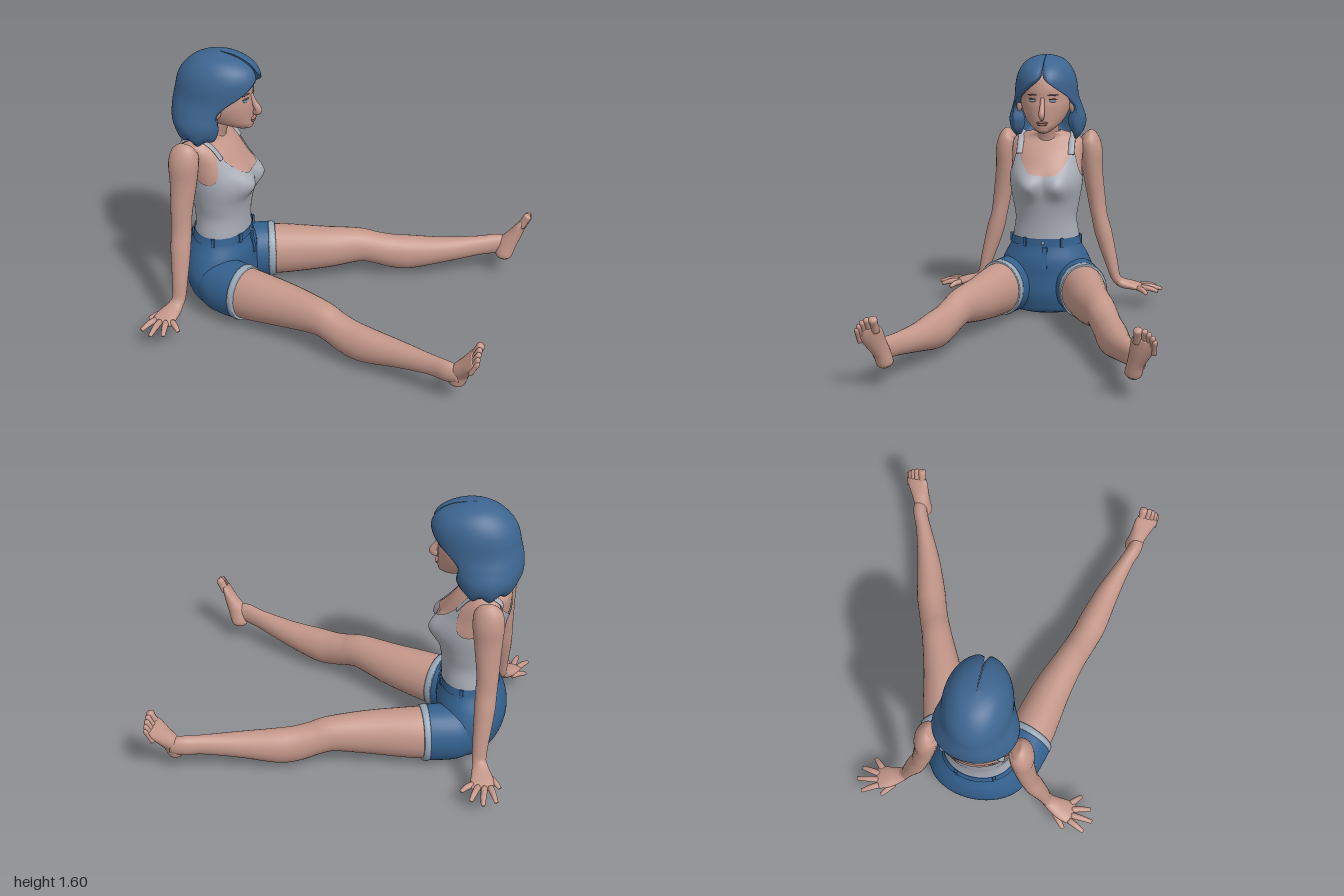
import * as THREE from 'three';
import { mergeVertices } from 'three/addons/utils/BufferGeometryUtils.js';

const V = (x, y, z) => new THREE.Vector3(x, y, z);
const paint = (name, color, side = THREE.FrontSide) => {
  const m = new THREE.MeshStandardMaterial({ color, side });
  m.name = name;
  return m;
};

// Smooth lookup in rows whose first column ascends
function sample(rows, k) {
  const n = rows.length - 1;
  let i = 0;
  while (i < n - 1 && k > rows[i + 1][0]) i++;
  const a = rows[i], b = rows[i + 1], h = b[0] - a[0];
  const t = Math.min(1, Math.max(0, (k - a[0]) / h));
  const slope = (j, c) => {
    const p = rows[Math.max(0, j - 1)], q = rows[Math.min(n, j + 1)];
    return (q[c] - p[c]) / (q[0] - p[0]);
  };
  return a.map((_, c) => {
    const t2 = t * t, t3 = t2 * t;
    return (2 * t3 - 3 * t2 + 1) * a[c] + (t3 - 2 * t2 + t) * h * slope(i, c)
      + (3 * t2 - 2 * t3) * b[c] + (t3 - t2) * h * slope(i + 1, c);
  });
}

// Surface from a function of around (0..1) and along (0..1)
function surface(fn, nu, nv) {
  const pos = [], idx = [];
  for (let i = 0; i <= nv; i++) for (let j = 0; j <= nu; j++) pos.push(...fn((j % nu) / nu, i / nv).toArray());
  for (let i = 0; i < nv; i++) for (let j = 0; j < nu; j++) {
    const a = i * (nu + 1) + j, d = a + nu + 1;
    idx.push(a, a + 1, d + 1, a, d + 1, d);
  }
  let g = new THREE.BufferGeometry();
  g.setAttribute('position', new THREE.Float32BufferAttribute(pos, 3));
  g.setIndex(idx);
  g = mergeVertices(g, 1e-5);
  g.computeVertexNormals();
  return g;
}

// Limb through sections [x, y, z, halfWidth, halfDepth]; ref points along the width
function limb(sections, ref, s = 1, segs = 24, steps = 5) {
  const n = sections.length - 1, nv = n * steps;
  const path = new THREE.CatmullRomCurve3(sections.map(p => V(p[0], p[1], p[2] * s)), false, 'catmullrom');
  const size = new THREE.CatmullRomCurve3(sections.map(p => V(p[3], p[4], 0)), false, 'catmullrom');
  const r = V(ref[0], ref[1], ref[2] * s);
  return surface((u, v) => {
    const k = Math.min(1, Math.max(0, (v * (nv + 2) - 1) / nv));
    const c = path.getPoint(k);
    if (v === 0 || v === 1) return c;
    const t = path.getTangent(k), w = r.clone().addScaledVector(t, -r.dot(t)).normalize();
    const d = t.clone().cross(w), q = size.getPoint(k), a = u * Math.PI * 2;
    return c.addScaledVector(w, Math.max(0.001, q.x) * Math.cos(a)).addScaledVector(d, Math.max(0.001, q.y) * Math.sin(a));
  }, segs, nv + 2);
}

// Level cross-sections: [y, back x, front x, half width]
const torsoRows = [[.44, -.87, -.555, .2], [.5, -.86, -.56, .193], [.6, -.86, -.555, .18], [.7, -.875, -.54, .195],
  [.8, -.89, -.525, .212], [.87, -.9, -.53, .216], [.95, -.92, -.57, .215], [1.02, -.925, -.62, .217],
  [1.07, -.92, -.67, .21], [1.1, -.89, -.69, .17], [1.13, -.83, -.67, .08]];
const pelvisRows = [[0, -.72, -.66, .05], [.02, -.82, -.58, .19], [.07, -.88, -.55, .255], [.15, -.92, -.53, .285],
  [.25, -.935, -.53, .293], [.35, -.92, -.53, .262], [.44, -.882, -.55, .215], [.49, -.868, -.55, .2]];
const headRows = [[1.14, -.58, -.55, .015], [1.155, -.64, -.52, .045], [1.18, -.73, -.505, .08], [1.21, -.8, -.505, .11],
  [1.26, -.86, -.503, .137], [1.31, -.89, -.503, .152], [1.35, -.9, -.508, .156], [1.42, -.89, -.51, .155],
  [1.49, -.86, -.535, .13], [1.53, -.8, -.59, .09], [1.545, -.7, -.69, .01]];

function level(rows, angle, y, off = 0) {
  const [, back, front, rz] = sample(rows, y);
  const x = (back + front) / 2 + ((front - back) / 2 + off) * Math.cos(angle), z = -(rz + off) * Math.sin(angle);
  const bust = rows === torsoRows && Math.cos(angle) > 0
    ? .055 * Math.exp(-(((y - .82) / .075) ** 2) - ((Math.abs(z) - .1) / .075) ** 2) : 0;
  return V(x + bust, y, z);
}
const stack = (rows, off = 0, y0 = rows[0][0], y1 = rows[rows.length - 1][0], nv = 40) =>
  surface((u, v) => level(rows, u * Math.PI * 2, y0 + (y1 - y0) * v, off), 48, nv);

export function createModel() {
  const model = new THREE.Group();
  const skin = paint('skin', 0xc4978a), hair = paint('hair blue', 0x3d6590, THREE.DoubleSide);
  const cloth = paint('top grey', 0xa8acb5, THREE.DoubleSide), denim = paint('denim', 0x34618f, THREE.DoubleSide);
  const fray = paint('frayed hem', 0x98a8b8, THREE.DoubleSide), lip = paint('lips', 0xae7a70);
  const iris = paint('eye blue', 0x7d9cb4), dark = paint('lash and brow', 0x6a5650);
  const add = (name, geo, mat, x = 0, y = 0, z = 0) => {
    const m = new THREE.Mesh(geo, mat);
    m.name = name;
    m.position.set(x, y, z);
    model.add(m);
    return m;
  };
  const blob = (name, mat, p, sx, sy, sz) => {
    const m = add(name, new THREE.SphereGeometry(1, 16, 12), mat, ...p);
    m.scale.set(sx, sy, sz);
    return m;
  };

  // Body core and head
  add('torso', stack(torsoRows), skin);
  add('neck', limb([[-.77, 1.04, 0, .1, .11], [-.75, 1.1, 0, .078, .078], [-.73, 1.16, 0, .075, .072], [-.7, 1.25, 0, .08, .075]], [1, 0, 0]), skin);
  add('head', stack(headRows), skin);
  add('nose', limb([[-.515, 1.36, 0, .012, .012], [-.497, 1.31, 0, .014, .016], [-.474, 1.268, 0, .018, .021],
    [-.486, 1.25, 0, .014, .022], [-.505, 1.243, 0, .006, .01]], [0, 0, 1]), skin).geometry.scale(1, 1, 1);
  blob('upperLip', lip, [-.501, 1.214, 0], .012, .007, .036);
  blob('lowerLip', lip, [-.503, 1.202, 0], .012, .008, .03);
  blob('chin', skin, [-.535, 1.172, 0], .028, .024, .04);

  // Top with scooped neck and armholes
  const edge = [[0, .885], [.4, .9], [.68, .97], [.8, 1.03], [.93, 1], [1.2, .9], [1.57, .86], [2, .9], [2.3, 1.02], [2.45, 1.02], [2.8, .96], [3.15, .94]];
  const brim = a => sample(edge, Math.min(a, Math.PI * 2 - a))[1];
  add('tankTop', surface((u, v) => {
    const a = u * Math.PI * 2;
    return level(torsoRows, a, .485 + (brim(a) - .485) * v, .008);
  }, 96, 36), cloth);

  // Shorts seat, waistband, belt loops and fly
  add('shortsSeat', stack(pelvisRows), denim);
  add('waistband', stack(pelvisRows, .007, .445, .493, 3), denim);
  for (const a of [.55, 1.5, 2.6, -.55, -1.5, -2.6]) {
    const loop = add('beltLoop', new THREE.BoxGeometry(.012, .055, .018), denim);
    loop.position.copy(level(pelvisRows, a, .468, .01));
    loop.rotation.y = a;
  }
  blob('button', fray, [-.541, .468, 0], .006, .01, .01);
  add('fly', new THREE.BoxGeometry(.012, .13, .03), denim, -.535, .375, -.012).rotation.z = .12;

  for (const s of [1, -1]) {
    const side = s > 0 ? 'left' : 'right';
    // Straps over the shoulders
    const strap = [[1.0, 1], [1.04, 1], [1.08, 1], [1.115, 0], [1.08, -1], [1.04, -1], [1.0, -1]].map(([y, f]) => {
      const [, b, fr, rz] = sample(torsoRows, Math.min(y, 1.09));
      return [(b + fr) / 2 + f * ((fr - b) / 2 * Math.sqrt(1 - (.157 / rz) ** 2) + .008), y, .157, .02, .007];
    });
    add(side + 'Strap', limb(strap, [0, 0, 1], s, 12), cloth);

    // Face details
    const ang = -s * .41;
    const eye = level(headRows, ang, 1.343);
    blob(side + 'Eye', iris, eye.toArray(), .006, .009, .022).rotation.y = ang;
    blob(side + 'Lash', dark, [eye.x + .001, 1.353, eye.z], .006, .004, .027).rotation.y = ang;
    const brow = blob(side + 'Brow', dark, level(headRows, ang, 1.378).toArray(), .005, .005, .034);
    brow.rotation.y = ang;
    blob(side + 'Ear', skin, [-.665, 1.305, s * .16], .03, .05, .018);

    // Arm and hand
    add(side + 'Arm', limb([[-.825, 1.1, .225, .035, .035], [-.828, 1.075, .246, .075, .058], [-.835, 1, .262, .088, .068],
      [-.84, .88, .27, .078, .062], [-.85, .7, .295, .063, .055], [-.85, .58, .315, .06, .05], [-.85, .47, .342, .058, .053],
      [-.845, .3, .39, .046, .04], [-.845, .2, .418, .04, .03], [-.855, .16, .445, .04, .028]], [1, 0, 0], s), skin);
    add(side + 'Palm', limb([[-.85, .18, .42, .036, .026], [-.862, .15, .465, .05, .03], [-.88, .135, .525, .064, .025],
      [-.888, .122, .575, .068, .019], [-.89, .118, .59, .055, .012]], [1, 0, 0], s), skin);
    const fingers = [[-.91, .48, -.985, .545], [-.935, .57, -.983, .665], [-.903, .58, -.915, .705], [-.868, .578, -.845, .685], [-.835, .565, -.778, .62]];
    fingers.forEach(([x, z, tx, tz], i) => add(side + (i ? 'Finger' : 'Thumb'), limb([[x, .125, z, .019, .017],
      [(x + tx) / 2, .122, (z + tz) / 2, .017, .016], [tx, .107, tz, .012, .01]], [tz - z, 0, x - tx], s, 10, 4), skin));

    // Shorts leg, frayed hem and leg
    add(side + 'ShortsLeg', limb([[-.78, .18, .15, .1, .14], [-.68, .185, .19, .145, .168], [-.58, .188, .225, .15, .172],
      [-.505, .19, .252, .145, .17]], [0, 0, 1], s, 32), denim);
    add(side + 'Hem', limb([[-.52, .19, .246, .147, .172], [-.5, .19, .253, .149, .173], [-.482, .19, .26, .144, .168]], [0, 0, 1], s, 40, 3), fray);
    add(side + 'Leg', limb([[-.6, .19, .22, .135, .157], [-.45, .192, .265, .133, .157], [-.2, .203, .332, .113, .133],
      [0, .212, .403, .092, .108], [.1, .188, .44, .087, .1], [.2, .16, .475, .086, .107], [.3, .152, .505, .087, .107],
      [.5, .168, .562, .069, .08], [.7, .188, .634, .046, .062], [.8, .195, .675, .043, .062], [.875, .2, .69, .038, .05]], [0, 0, 1], s, 28), skin);

    // Foot and toes
    const across = [0, -.5, .87];
    add(side + 'Foot', limb([[.85, .113, .655, .028, .03], [.853, .135, .66, .046, .05], [.868, .2, .675, .047, .056],
      [.908, .265, .697, .058, .042], [.94, .32, .715, .068, .028], [.957, .355, .725, .06, .018]], across, s), skin);
    [[.4, .688, .024], [.395, .722, .017], [.38, .745, .016], [.36, .763, .015], [.338, .775, .014]].forEach(([y, z, r], i) =>
      add(side + 'Toe', limb([[.945, y - .065, z - .004, r, r], [.965, y - .025, z, r * .9, r], [.982, y + .008, z + .002, r, r], [.988, y + .018, z + .002, r * .5, r * .5]], across, s, 10, 4), skin));
  }

  // Parted bob: [y, back x, front x, half width, face opening angle, inner scale]
  const hairRows = [[1.1, -.92, -.63, .195, 1.1, .96], [1.13, -.95, -.6, .222, .9, .85], [1.2, -.975, -.57, .235, .82, .73],
    [1.28, -.975, -.53, .213, 1.05, .8], [1.34, -.965, -.48, .195, .98, .87], [1.38, -.955, -.465, .19, .75, .89],
    [1.43, -.945, -.458, .185, .4, .9], [1.48, -.925, -.463, .173, .08, .9], [1.53, -.885, -.495, .148, .01, .9],
    [1.57, -.83, -.56, .108, .01, .9], [1.59, -.77, -.63, .06, .01, .9], [1.6, -.702, -.698, .002, .01, .9]];
  add('hair', surface((u, v) => {
    const y = 1.1 + .5 * Math.sin(v * Math.PI / 2);
    const [, back, front, rz, gap, inner] = sample(hairRows, y);
    const outer = u < .5, t = outer ? u / .4999 : (1 - u) / .5;
    const a = gap + (Math.PI * 2 - gap * 2) * Math.min(1, t);
    const part = 1 - .06 * Math.exp(-((Math.min(a, Math.PI * 2 - a) / .13) ** 2));
    const k = (outer ? 1 : inner) * part;
    const drop = .014 * Math.sin(a * 9) * Math.max(0, 1 - v * 8);
    return V((back + front) / 2 + (front - back) / 2 * k * Math.cos(a), y + drop, -rz * k * Math.sin(a));
  }, 120, 48), hair);

  return model;
}
